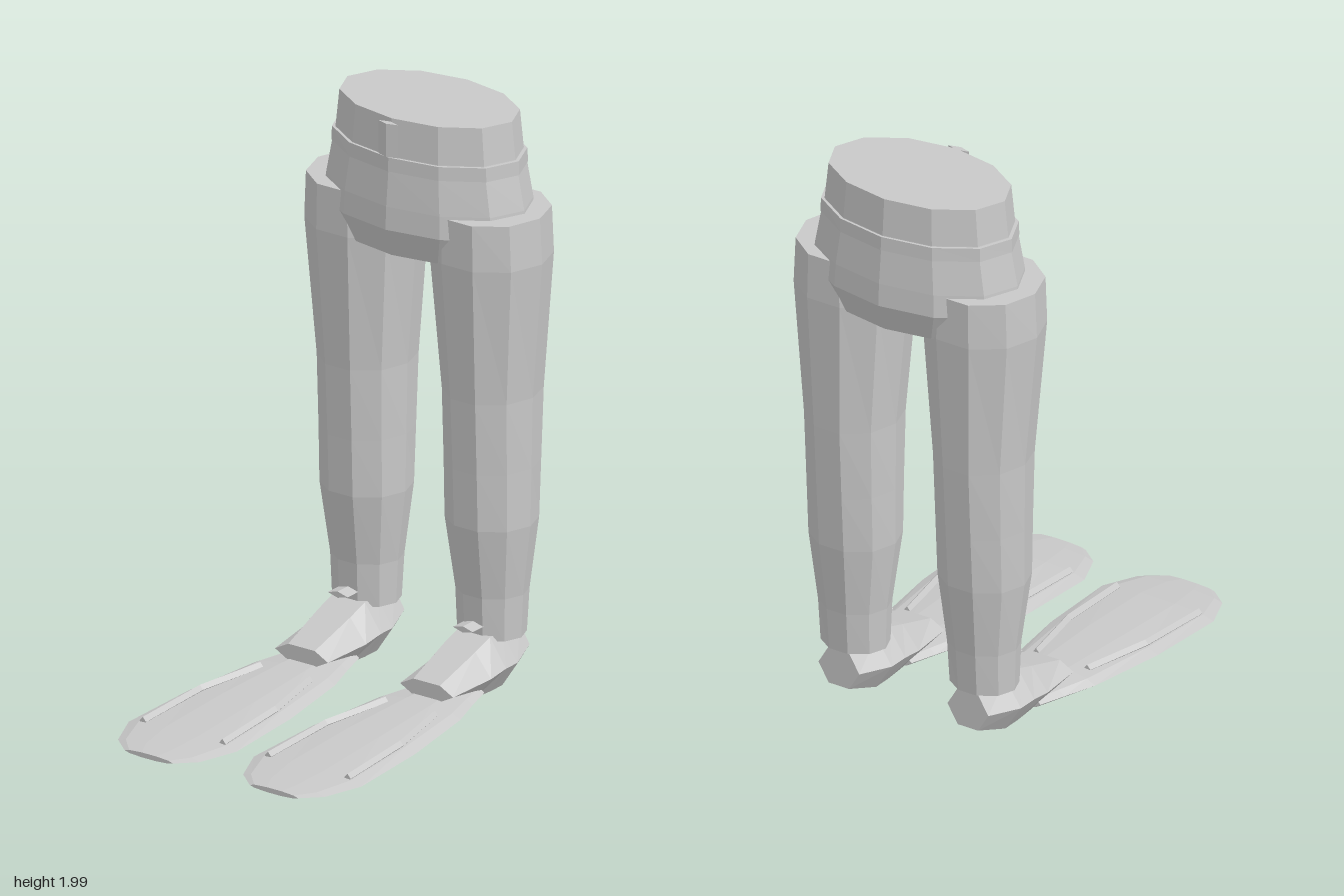
import * as THREE from 'three';

const grey = new THREE.MeshStandardMaterial({ color: 0xc8c8c8 });
grey.name = 'lightGrey';

// Closed faceted solid through rings of equal point count, capped at both ends
function loft(name, rings) {
  const pos = [];
  const tri = (a, b, c) => pos.push(...a, ...b, ...c);
  const n = rings[0].length;
  for (let i = 0; i < rings.length - 1; i++) {
    for (let j = 0; j < n; j++) {
      const k = (j + 1) % n;
      const a = rings[i][j], b = rings[i][k], c = rings[i + 1][k], d = rings[i + 1][j];
      tri(a, d, c);
      tri(a, c, b);
    }
  }
  const first = rings[0], last = rings[rings.length - 1];
  for (let j = 1; j < n - 1; j++) {
    tri(first[0], first[j], first[j + 1]);
    tri(last[0], last[j + 1], last[j]);
  }
  const g = new THREE.BufferGeometry();
  g.setAttribute('position', new THREE.Float32BufferAttribute(pos, 3));
  g.computeVertexNormals();
  const mesh = new THREE.Mesh(g, grey);
  mesh.name = name;
  return mesh;
}

const polygon = (n, f) => Array.from({ length: n }, (_, i) => {
  const a = (i / n) * Math.PI * 2;
  return f(Math.cos(a), Math.sin(a));
});
// Horizontal ring, and upright ring facing along z
const ringY = (n, y, cx, rx, cz, rz) => polygon(n, (c, s) => [cx + rx * c, y, cz + rz * s]);
const ringZ = (n, z, cx, rx, cy, ry) => polygon(n, (c, s) => [cx + rx * c, cy - ry * s, z]);

const CX = 0.253; // leg centre line

function createLeg(side) {
  const leg = new THREE.Group();
  leg.name = side > 0 ? 'leftLeg' : 'rightLeg';
  const cx = side * CX;

  // Ten-sided trouser leg: y, rx, cz, rz
  leg.add(loft('trouserLeg', [
    [0.2, 0.118, -0.478, 0.105], [0.35, 0.124, -0.48, 0.115],
    [0.6, 0.156, -0.477, 0.15], [0.8, 0.158, -0.48, 0.16],
    [1.05, 0.162, -0.482, 0.173], [1.53, 0.204, -0.476, 0.2],
    [1.69, 0.196, -0.475, 0.198],
  ].map(([y, rx, cz, rz]) => ringY(10, y, cx, rx, cz, rz))));

  // Six-sided boot from heel to instep: z, rx, cy, ry
  leg.add(loft('boot', [
    [-0.575, 0.08, 0.136, 0.076], [-0.45, 0.124, 0.122, 0.108],
    [-0.38, 0.129, 0.125, 0.11], [-0.3, 0.128, 0.114, 0.092],
    [-0.12, 0.107, 0.103, 0.033],
  ].map(([z, rx, cy, ry]) => ringZ(6, z, cx, rx, cy, ry))));

  // Fin blade with a lens section: z, rx, cy, ry
  leg.add(loft('finBlade', [
    [-0.3, 0.1, 0.06, 0.025], [-0.2, 0.126, 0.054, 0.029],
    [-0.08, 0.165, 0.051, 0.029], [0.22, 0.207, 0.041, 0.028],
    [0.53, 0.218, 0.03, 0.021], [0.66, 0.165, 0.023, 0.015],
    [0.715, 0.098, 0.02, 0.009],
  ].map(([z, rx, cy, ry]) => ringZ(10, z, cx, rx, cy, ry))));

  // Pair of raised, ridged ribs along the blade: z, offset, y
  for (const s of [-1, 1]) {
    const rib = [[-0.03, 0.1, 0.071], [0.23, 0.152, 0.063], [0.53, 0.161, 0.046]];
    leg.add(loft('finRib', rib.map(([z, o, y]) => ringZ(4, z, cx + s * o, 0.013, y, 0.015))));
  }

  // Small ankle strap tab
  leg.add(loft('ankleTab', [-0.388, -0.318].map((z) => ringZ(4, z, cx, 0.04, 0.252, 0.011))));
  return leg;
}

export function createModel() {
  const model = new THREE.Group();
  model.name = 'legsWithFins';

  // Twelve-sided hips with a flared seat and a tapered crotch: y, rx, rz
  model.add(loft('hips', [
    [1.52, 0.33, 0.207], [1.62, 0.39, 0.242], [1.7, 0.383, 0.238],
    [1.82, 0.359, 0.226], [1.87, 0.347, 0.217], [2.0, 0.333, 0.208],
  ].map(([y, rx, rz]) => ringY(12, y, 0, rx, -0.479, rz))));

  model.add(loft('belt', [
    [1.82, 0.362, 0.228], [1.868, 0.36, 0.226],
  ].map(([y, rx, rz]) => ringY(12, y, 0, rx, -0.479, rz))));

  model.add(loft('buckle', [1.875, 1.991].map((y) => ringY(4, y, 0, 0.04, -0.252, 0.012))));

  for (const side of [1, -1]) model.add(createLeg(side));
  return model;
}
